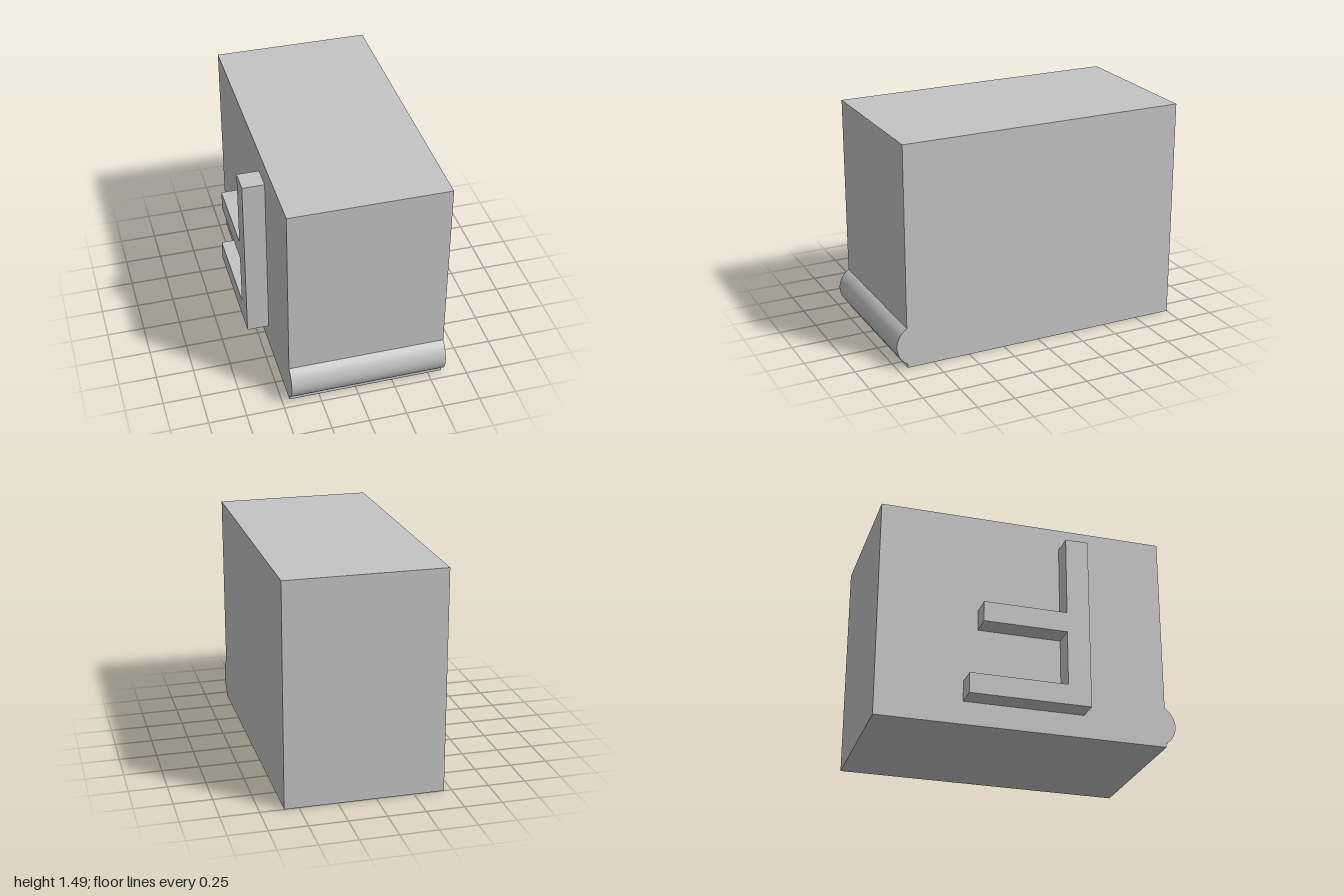
import * as THREE from 'three';
import { toCreasedNormals } from 'three/addons/utils/BufferGeometryUtils.js';

const grey = new THREE.MeshStandardMaterial({ color: 0xc4c4c4 });
grey.name = 'light grey';

// Extrudes a (z, y) side profile across x, from xMin to xMax
function sidePart(name, shape, xMin, xMax) {
  const geometry = new THREE.ExtrudeGeometry(shape, {
    depth: xMax - xMin, bevelEnabled: false, curveSegments: 32,
  });
  geometry.rotateY(-Math.PI / 2).translate(xMax, 0, 0);
  const mesh = new THREE.Mesh(toCreasedNormals(geometry, 0.4), grey);
  mesh.name = name;
  return mesh;
}

export function createModel() {
  const model = new THREE.Group();
  model.name = 'block';

  // Block with a rounded lip along the lower front edge
  const lipRadius = 0.143, lipY = 0.15, front = 0.93;
  const halfAngle = Math.asin(0.123 / lipRadius);
  const body = new THREE.Shape();
  body.moveTo(-1, 0);
  body.lineTo(front, 0);
  body.absarc(1 - lipRadius, lipY, lipRadius, -halfAngle, halfAngle, false);
  body.lineTo(front, 1.486);
  body.lineTo(-1, 1.486);
  body.closePath();
  model.add(sidePart('body', body, -0.449, 0.595));

  // Raised side bracket: upright bar with a middle arm and a longer bottom arm
  const bracket = new THREE.Shape([
    [0.37, 0.155], [0.37, 1.338], [0.216, 1.338], [0.216, 0.798],
    [-0.341, 0.798], [-0.341, 0.66], [0.216, 0.66], [0.216, 0.292],
    [-0.431, 0.292], [-0.431, 0.155],
  ].map(([z, y]) => new THREE.Vector2(z, y)));
  model.add(sidePart('sideBracket', bracket, -0.595, -0.449));

  return model;
}
